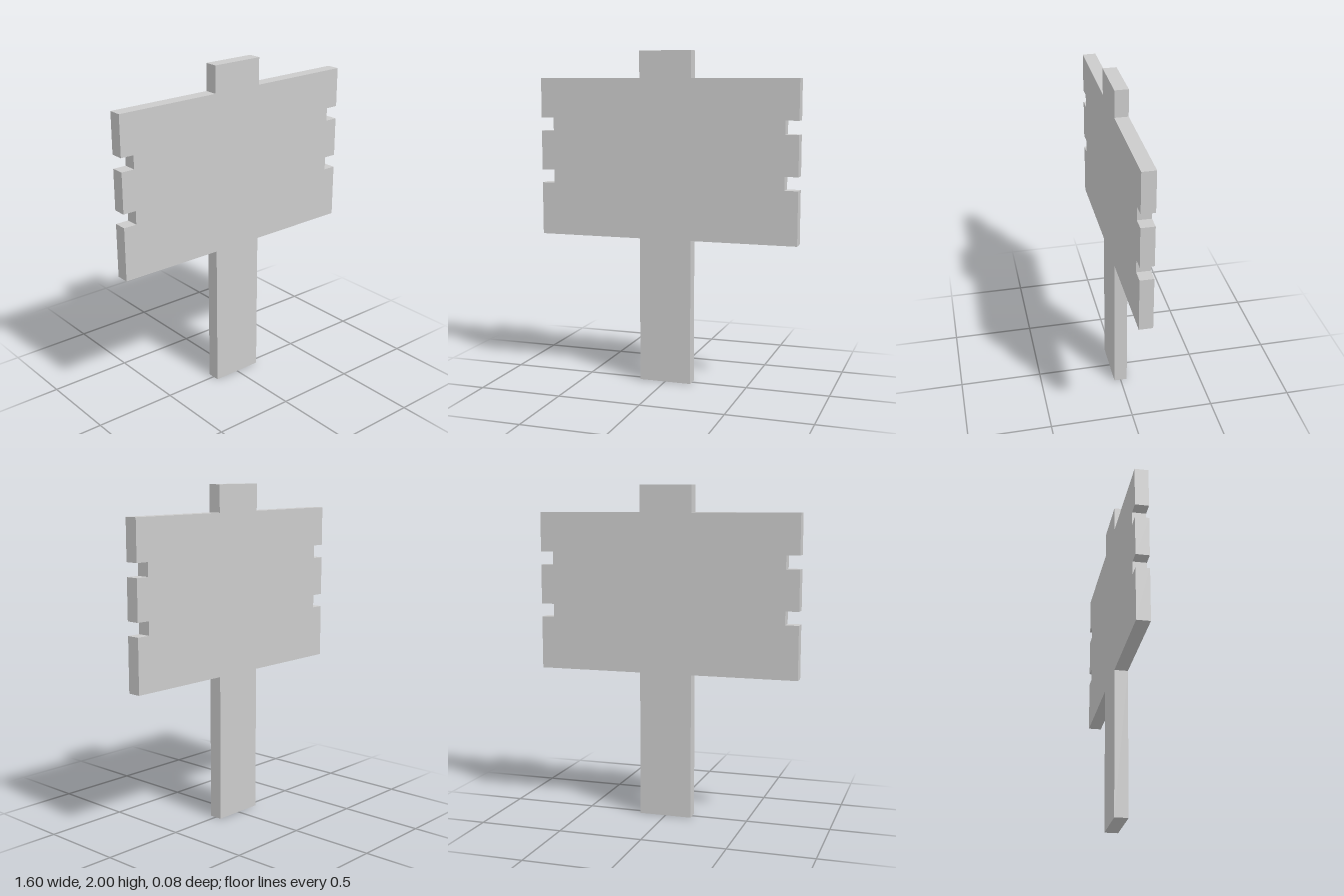
import * as THREE from 'three';

const THICKNESS = 0.08;

// Right half of the sign outline, from the foot of the post to its top
const HALF_OUTLINE = [
  [0.16, 0], [0.16, 0.88], [0.8, 0.88],
  [0.8, 1.2], [0.72, 1.2], [0.72, 1.28], [0.8, 1.28], // lower notch
  [0.8, 1.52], [0.72, 1.52], [0.72, 1.6], [0.8, 1.6], // upper notch
  [0.8, 1.84], [0.16, 1.84], [0.16, 2],
];

export function createModel() {
  const group = new THREE.Group();
  group.name = 'signpost';

  // Mirror the half outline to close the silhouette
  const mirrored = HALF_OUTLINE.map(([x, y]) => [-x, y]).reverse();
  const points = [...HALF_OUTLINE, ...mirrored].map(([x, y]) => new THREE.Vector2(x, y));

  // Board and post cut from one flat slab
  const geometry = new THREE.ExtrudeGeometry(new THREE.Shape(points), {
    depth: THICKNESS,
    bevelEnabled: false,
  });
  geometry.translate(0, 0, -THICKNESS / 2);

  const material = new THREE.MeshStandardMaterial({ color: 0xcccccc, flatShading: true });
  const sign = new THREE.Mesh(geometry, material);
  sign.name = 'signBoardAndPost';
  group.add(sign);
  return group;
}
